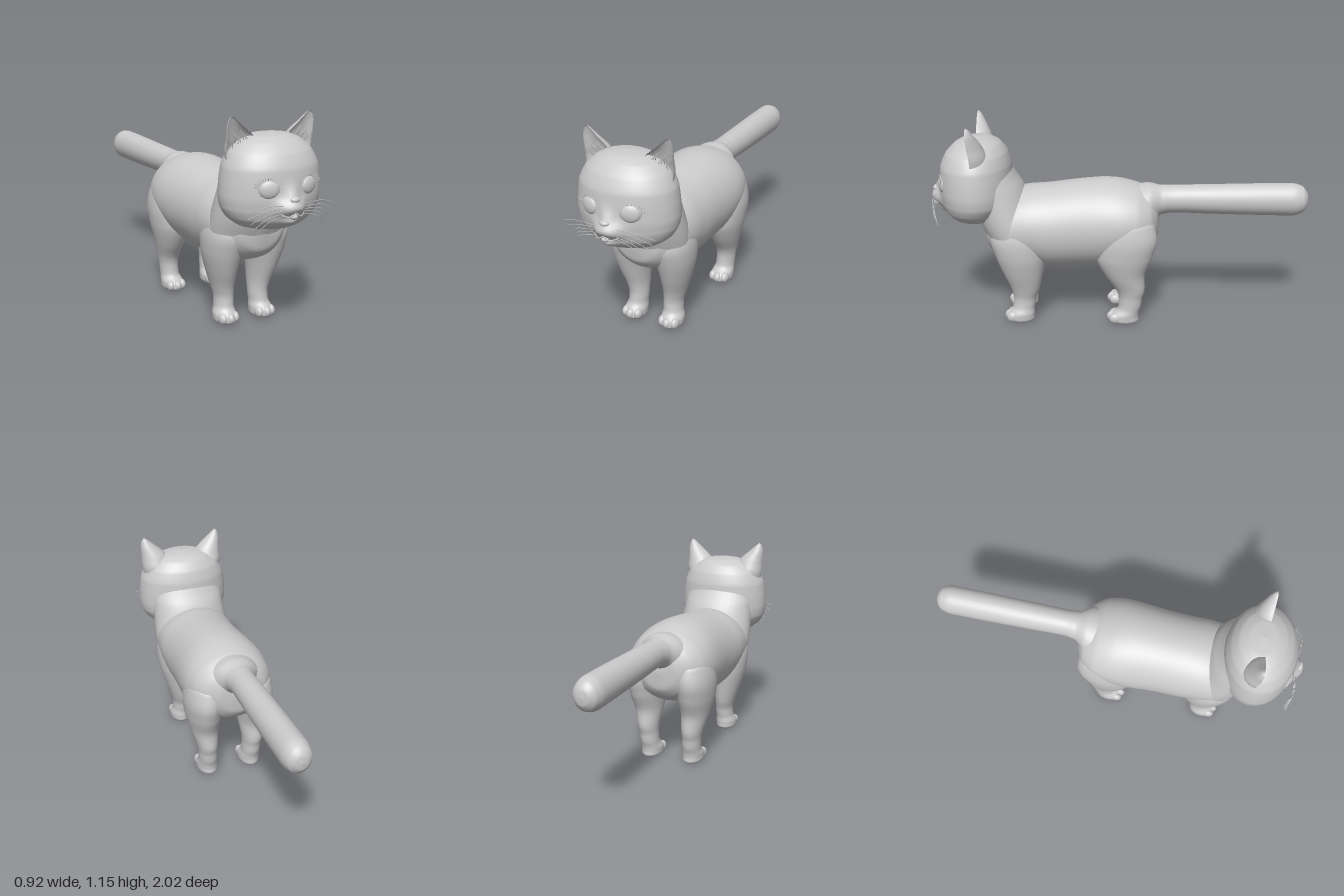
import * as THREE from 'three';

const material = new THREE.MeshStandardMaterial({ color: 0xcccccc, side: THREE.DoubleSide });

// Smooth skin over elliptical rings. Each row is [x, y, z, radiusA, radiusB].
// Rings lie flat when axis is 'y' and upright when axis is 'z'.
function loft(rows, axis, { around = 36, steps = 6, deform } = {}) {
  const centres = new THREE.CatmullRomCurve3(rows.map(r => new THREE.Vector3(r[0], r[1], r[2])));
  const radii = new THREE.CatmullRomCurve3(rows.map(r => new THREE.Vector3(r[3], r[4], 0)));
  const n = (rows.length - 1) * steps;
  const pos = [], index = [];
  const v = new THREE.Vector3();
  for (let i = 0; i <= n; i++) {
    const c = centres.getPoint(i / n), r = radii.getPoint(i / n);
    const a = Math.max(r.x, 0.0005), b = Math.max(r.y, 0.0005);
    for (let j = 0; j < around; j++) {
      const t = (j / around) * Math.PI * 2;
      if (axis === 'y') v.set(c.x + a * Math.cos(t), c.y, c.z - b * Math.sin(t));
      else v.set(c.x + a * Math.cos(t), c.y + b * Math.sin(t), c.z);
      if (deform) deform(v, c, a, b);
      pos.push(v.x, v.y, v.z);
      if (i < n) {
        const k = (j + 1) % around, p = i * around, q = p + around;
        index.push(p + j, p + k, q + j, p + k, q + k, q + j);
      }
    }
  }
  const g = new THREE.BufferGeometry();
  g.setAttribute('position', new THREE.Float32BufferAttribute(pos, 3));
  g.setIndex(index);
  g.computeVertexNormals();
  return g;
}

function add(parent, name, geometry) {
  const m = new THREE.Mesh(geometry, material);
  m.name = name;
  parent.add(m);
  return m;
}

function ball(parent, name, x, y, z, rx, ry, rz) {
  const m = add(parent, name, new THREE.SphereGeometry(1, 24, 16));
  m.position.set(x, y, z);
  m.scale.set(rx, ry, rz);
  return m;
}

// Thin curved strand through three points
function strand(parent, name, points, radius) {
  const curve = new THREE.CatmullRomCurve3(points.map(p => new THREE.Vector3(...p)));
  return add(parent, name, new THREE.TubeGeometry(curve, 10, radius, 4));
}

const gauss = (d, w) => Math.exp(-(d * d) / (w * w));

// Whisker pads, nose bridge and chin swell out of the front of the face
function faceBulge(v) {
  if (v.z < 0.8) return;
  const f = Math.min(1, (v.z - 0.8) / 0.1);
  const pads = gauss(v.x - 0.035, 0.045) + gauss(v.x + 0.035, 0.045);
  v.z += f * (0.045 * pads * gauss(v.y - 0.715, 0.04)
    + 0.028 * gauss(v.x, 0.035) * gauss(v.y - 0.77, 0.05)
    + 0.04 * gauss(v.x, 0.05) * gauss(v.y - 0.645, 0.03));
}

// Scooped opening on the front of each ear
function earScoop(v, c, a, b) {
  const d = v.z - c.z;
  if (d > 0) v.z = c.z - 0.55 * d;
}

const frontLegRows = [
  [0.112, 0.004, 0.56, 0, 0], [0.112, 0.006, 0.56, 0.05, 0.065], [0.112, 0.022, 0.562, 0.06, 0.08],
  [0.112, 0.05, 0.558, 0.061, 0.077], [0.108, 0.09, 0.542, 0.052, 0.062],
  [0.106, 0.14, 0.535, 0.052, 0.064], [0.113, 0.2, 0.53, 0.06, 0.08],
  [0.125, 0.3, 0.54, 0.08, 0.11], [0.13, 0.4, 0.55, 0.1, 0.138],
  [0.125, 0.5, 0.56, 0.11, 0.155], [0.11, 0.6, 0.56, 0.1, 0.13], [0.1, 0.68, 0.56, 0, 0],
];
const rearLegRows = [
  [0.13, 0.004, -0.03, 0, 0], [0.13, 0.006, -0.03, 0.05, 0.07], [0.13, 0.022, -0.024, 0.06, 0.086],
  [0.13, 0.05, -0.027, 0.061, 0.082], [0.132, 0.09, -0.055, 0.053, 0.064],
  [0.135, 0.15, -0.063, 0.053, 0.066], [0.138, 0.2, -0.063, 0.059, 0.079],
  [0.145, 0.3, -0.03, 0.079, 0.112], [0.15, 0.4, -0.025, 0.098, 0.157],
  [0.15, 0.5, -0.035, 0.106, 0.172], [0.135, 0.6, -0.035, 0.105, 0.155], [0.11, 0.72, -0.03, 0, 0],
];

function leg(parent, name, rows, side, toeZ) {
  const g = new THREE.Group();
  g.name = name;
  parent.add(g);
  add(g, name + 'Limb', loft(rows.map(([x, ...rest]) => [x * side, ...rest]), 'y'));
  for (let i = -1; i <= 1; i++)
    ball(g, 'toe', side * rows[2][0] + i * 0.036, 0.036, toeZ - Math.abs(i) * 0.014, 0.023, 0.031, 0.033);
}

function ear(parent, side) {
  const g = new THREE.Group();
  g.name = side > 0 ? 'leftEar' : 'rightEar';
  parent.add(g);
  const rows = [[0.15, 0.9, 0.79, 0.085, 0.08], [0.16, 0.97, 0.79, 0.086, 0.085], [0.172, 1.04, 0.8, 0.075, 0.07],
    [0.205, 1.1, 0.805, 0.042, 0.042], [0.22, 1.135, 0.805, 0.018, 0.02], [0.224, 1.15, 0.803, 0, 0]];
  add(g, 'earShell', loft(rows.map(([x, ...r]) => [x * side, ...r]), 'y', { deform: earScoop }));
  // Hair inside the ear
  for (let i = 0; i < 7; i++) {
    const x = 0.115 + i * 0.015, y = 0.985 + (i % 3) * 0.012;
    strand(g, 'earHair', [[side * x, y, 0.775], [side * (x + 0.012), y + 0.035, 0.8],
      [side * (x + 0.03), y + 0.065, 0.795]], 0.0018);
  }
}

function eye(parent, side) {
  const g = new THREE.Group();
  g.name = side > 0 ? 'leftEye' : 'rightEye';
  g.position.set(0.112 * side, 0.812, 0.966);
  g.rotation.y = 0.33 * side;
  parent.add(g);
  ball(g, 'eyeball', 0, 0, 0, 0.05, 0.045, 0.02);
  add(g, 'eyelid', new THREE.TorusGeometry(0.05, 0.0045, 8, 40)).scale.y = 0.92;
  // Upper lashes, longest at the outer corner
  for (let i = 0; i < 9; i++) {
    const a = 0.25 + i * 0.2, len = 0.028 - i * 0.0015;
    const c = Math.cos(a) * side, s = Math.sin(a) * 0.92;
    strand(g, 'eyelash', [[c * 0.05, s * 0.05, 0], [c * (0.05 + len * 0.6), s * 0.055, 0.012],
      [c * (0.05 + len), s * 0.055 + len * 0.4, 0.014]], 0.0014);
  }
}

export function createModel() {
  const root = new THREE.Group();
  root.name = 'cat';
  // The whole animal stands turned a little to its right
  const cat = new THREE.Group();
  cat.name = 'turnedCat';
  cat.position.x = 0.08;
  cat.rotation.y = -0.31;
  root.add(cat);

  add(cat, 'torso', loft([
    [0, 0.57, -0.222, 0, 0], [0, 0.575, -0.212, 0.1, 0.1], [0, 0.58, -0.175, 0.18, 0.16],
    [0, 0.58, -0.1, 0.232, 0.205], [0, 0.575, 0, 0.25, 0.235], [0, 0.565, 0.1, 0.248, 0.25],
    [0, 0.555, 0.25, 0.237, 0.247], [0, 0.545, 0.4, 0.235, 0.238], [0, 0.553, 0.5, 0.235, 0.222],
    [0, 0.55, 0.6, 0.225, 0.205], [0, 0.54, 0.68, 0.188, 0.165], [0, 0.54, 0.735, 0.12, 0.11],
    [0, 0.54, 0.758, 0, 0]], 'z', { around: 48 }));

  add(cat, 'tail', loft([
    [0, 0.693, -1.052, 0, 0], [0, 0.693, -1.046, 0.035, 0.04], [0, 0.693, -1.02, 0.066, 0.075],
    [0, 0.693, -0.96, 0.08, 0.092], [0, 0.694, -0.8, 0.08, 0.09], [0, 0.695, -0.5, 0.077, 0.083],
    [0, 0.696, -0.3, 0.074, 0.078], [0, 0.69, -0.23, 0.084, 0.084], [0, 0.67, -0.17, 0.13, 0.115],
    [0, 0.64, -0.1, 0.16, 0.14]], 'z'));

  add(cat, 'neck', loft([
    [0, 0.42, 0.57, 0.17, 0.12], [0, 0.5, 0.59, 0.222, 0.155], [0, 0.6, 0.625, 0.226, 0.165],
    [0, 0.7, 0.66, 0.22, 0.16], [0, 0.78, 0.692, 0.215, 0.156], [0, 0.84, 0.73, 0.215, 0.155],
    [0, 0.92, 0.77, 0.2, 0.15]], 'y'));

  for (const side of [1, -1]) {
    const label = side > 0 ? 'left' : 'right';
    leg(cat, label + 'FrontLeg', frontLegRows, side, 0.618);
    leg(cat, label + 'RearLeg', rearLegRows, side, 0.038);
  }

  // Head with face details
  const head = new THREE.Group();
  head.name = 'head';
  cat.add(head);
  add(head, 'skull', loft([
    [0, 0.578, 0.79, 0, 0], [0, 0.584, 0.79, 0.1, 0.085], [0, 0.605, 0.795, 0.175, 0.135],
    [0, 0.65, 0.795, 0.235, 0.172], [0, 0.7, 0.79, 0.262, 0.193], [0, 0.76, 0.79, 0.27, 0.2],
    [0, 0.82, 0.79, 0.267, 0.2], [0, 0.9, 0.79, 0.256, 0.194], [0, 0.97, 0.785, 0.222, 0.168],
    [0, 1.02, 0.78, 0.165, 0.125], [0, 1.045, 0.78, 0.1, 0.075], [0, 1.055, 0.78, 0, 0]],
  'y', { around: 96, steps: 8, deform: faceBulge }));

  ball(head, 'nose', 0, 0.762, 1.02, 0.026, 0.015, 0.018);
  ball(head, 'tongue', 0, 0.678, 1.017, 0.02, 0.014, 0.016);
  for (const side of [1, -1]) {
    ear(head, side);
    eye(head, side);
    strand(head, 'lip', [[0, 0.7, 1.034], [side * 0.03, 0.682, 1.03], [side * 0.065, 0.69, 1.005]], 0.004);
    // Whiskers fan out and droop
    for (let i = 0; i < 5; i++) {
      const y = 0.735 - i * 0.012, reach = 0.255 - i * 0.016;
      strand(head, 'whisker', [[side * 0.06, y, 1.01], [side * 0.15, y + 0.008 - i * 0.008, 1.015],
        [side * reach, y - 0.02 - i * 0.016, 0.985]], 0.0016);
    }
  }
  return root;
}
